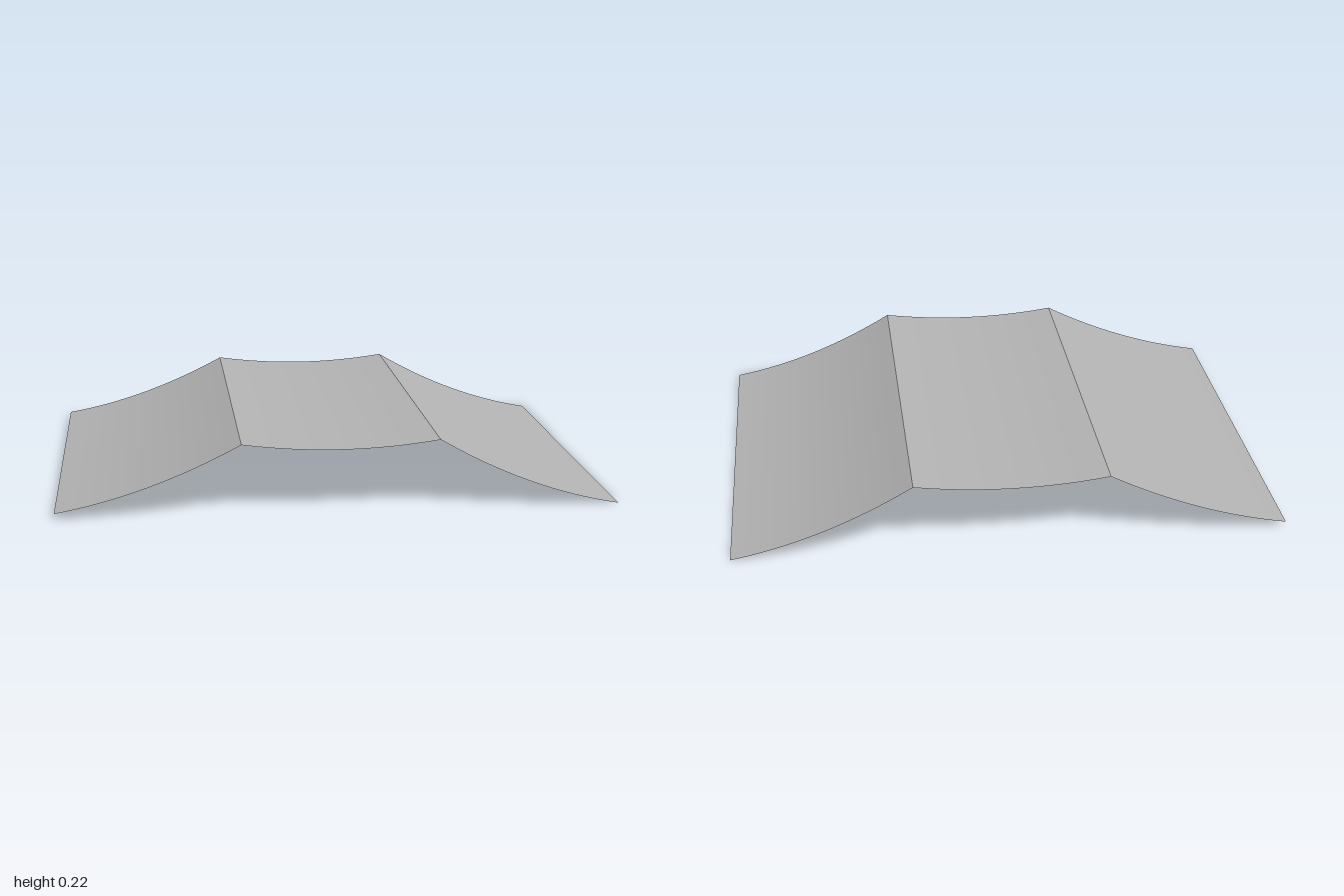
import * as THREE from 'three';

const LENGTH = 1.318; // along the ridges

// One curved panel spanning a to b (across, height), sagging in the middle
function panel(name, a, b, sag, material) {
  const geometry = new THREE.PlaneGeometry(1, LENGTH, 16, 1).rotateX(-Math.PI / 2);
  const p = geometry.attributes.position;
  for (let i = 0; i < p.count; i++) {
    const t = p.getX(i) + 0.5;
    p.setX(i, a[0] + (b[0] - a[0]) * t);
    p.setY(i, a[1] + (b[1] - a[1]) * t - 4 * sag * t * (1 - t));
  }
  geometry.computeVertexNormals();
  const mesh = new THREE.Mesh(geometry, material);
  mesh.name = name;
  return mesh;
}

export function createModel() {
  const group = new THREE.Group();
  group.name = 'canopy';
  const grey = new THREE.MeshStandardMaterial({ color: 0xb4b4b4, side: THREE.DoubleSide });
  grey.name = 'grey sheet';

  // Eaves and the two ridges
  const rightEave = [-0.868, 0.02], rightRidge = [-0.303, 0.218];
  const leftRidge = [0.305, 0.218], leftEave = [0.868, 0];

  group.add(
    panel('rightSlope', rightEave, rightRidge, 0.026, grey),
    panel('middleTrough', rightRidge, leftRidge, 0.023, grey),
    panel('leftSlope', leftRidge, leftEave, 0.03, grey)
  );
  group.rotation.y = -Math.atan2(0.415, 1.685);
  return group;
}
